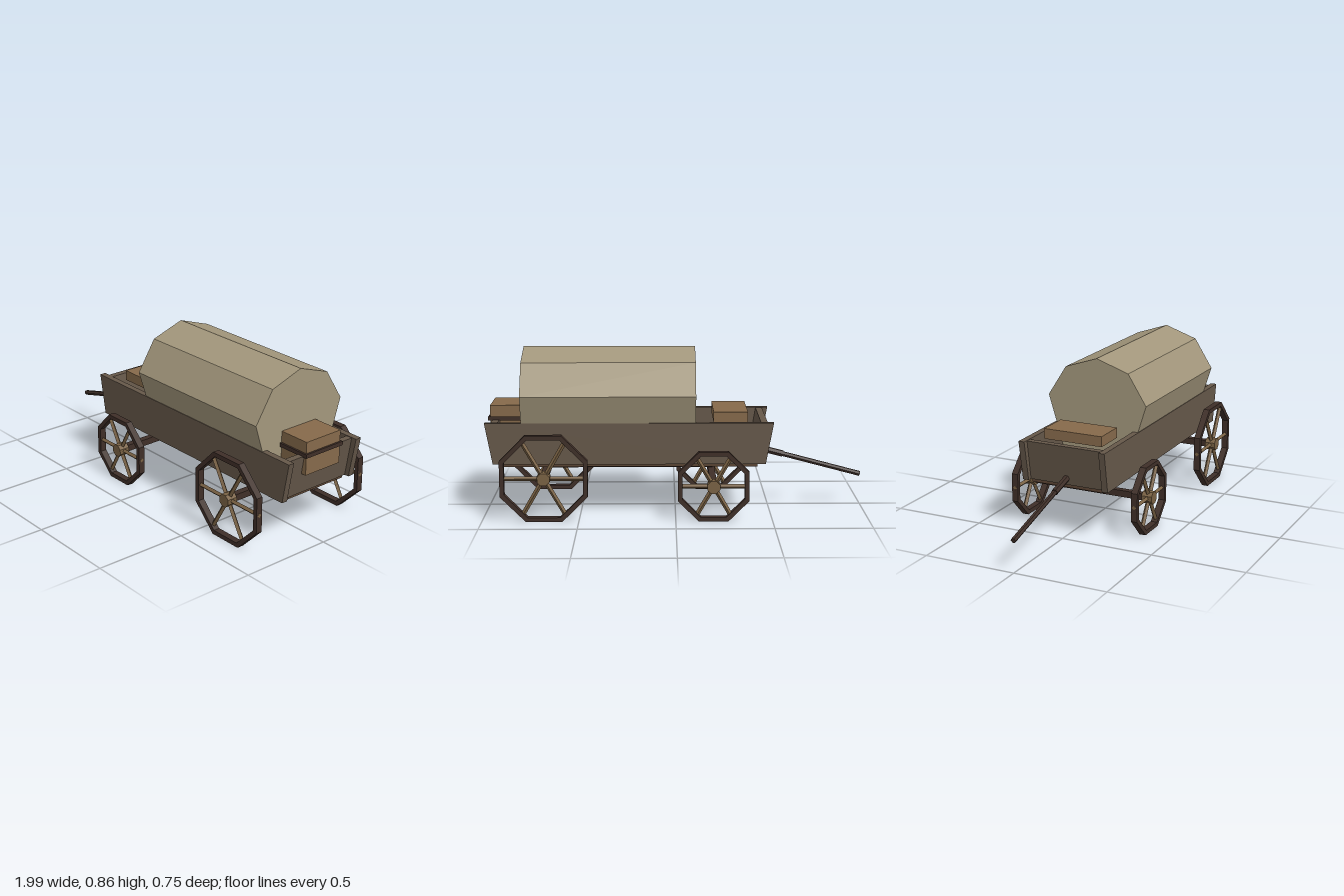
import * as THREE from 'three';

const mat = (color, side = THREE.FrontSide) =>
  new THREE.MeshStandardMaterial({ color, flatShading: true, roughness: 0.9, side });
const M = {
  body: mat(0x66584a), floor: mat(0x5a4433), canvas: mat(0xa3977c),
  dark: mat(0x3f2f28), crate: mat(0x866a4b), spoke: mat(0x7a6244),
};

function add(parent, name, geo, material, x = 0, y = 0, z = 0) {
  const m = new THREE.Mesh(geo, material);
  m.name = name;
  m.position.set(x, y, z);
  parent.add(m);
  return m;
}

// Box given by its limits on each axis
function box(parent, name, material, x0, x1, y0, y1, z0, z1) {
  return add(parent, name, new THREE.BoxGeometry(x1 - x0, y1 - y0, z1 - z0), material,
    (x0 + x1) / 2, (y0 + y1) / 2, (z0 + z1) / 2);
}

// Outline in x/y, extruded along z and centred on z = 0
function slab(points, depth) {
  const shape = new THREE.Shape(points.map(p => new THREE.Vector2(...p)));
  return new THREE.ExtrudeGeometry(shape, { depth, bevelEnabled: false }).translate(0, 0, -depth / 2);
}

// Bar between two points
function bar(parent, name, a, b, r, sides, material) {
  const va = new THREE.Vector3(...a), vb = new THREE.Vector3(...b);
  const m = add(parent, name, new THREE.CylinderGeometry(r, r, va.distanceTo(vb), sides), material);
  m.position.copy(va).add(vb).multiplyScalar(0.5);
  m.quaternion.setFromUnitVectors(new THREE.Vector3(0, 1, 0), vb.sub(va).normalize());
  return m;
}

// Octagon standing on a flat side
function octagon(apothem) {
  const r = apothem / Math.cos(Math.PI / 8);
  return Array.from({ length: 8 }, (_, i) => {
    const a = (i + 0.5) * Math.PI / 4;
    return new THREE.Vector2(r * Math.cos(a), r * Math.sin(a));
  });
}

function wheel(name, apothem) {
  const g = new THREE.Group();
  g.name = name;
  const rim = new THREE.Shape(octagon(apothem));
  rim.holes.push(new THREE.Path(octagon(apothem - 0.023)));
  add(g, 'rim', new THREE.ExtrudeGeometry(rim, { depth: 0.035, bevelEnabled: false })
    .translate(0, 0, -0.0175), M.dark);
  add(g, 'hub', new THREE.CylinderGeometry(0.035, 0.035, 0.058, 8)
    .rotateY(Math.PI / 8).rotateX(Math.PI / 2), M.spoke);
  const spokes = 6;
  for (let i = 0; i < spokes; i++) {
    const a = i * 2 * Math.PI / spokes, r = apothem + 0.001;
    bar(g, 'spoke', [0, 0, 0], [r * Math.cos(a), r * Math.sin(a), 0], 0.012, 4, M.spoke);
  }
  return g;
}

export function createModel() {
  const wagon = new THREE.Group();
  wagon.name = 'coveredWagon';

  // Bed: floor, flared sides and leaning end boards
  box(wagon, 'floor', M.floor, -0.43, 0.91, 0.26, 0.285, -0.21, 0.21);
  for (const s of [1, -1]) {
    add(wagon, 'sideBoard', slab([[-0.47, 0.28], [0.95, 0.28], [0.99, 0.497], [-0.51, 0.497]], 0.033),
      M.body, 0, 0, s * 0.227);
  }
  add(wagon, 'frontBoard', slab([[-0.445, 0.28], [-0.41, 0.28], [-0.445, 0.494], [-0.48, 0.494]], 0.424), M.body);
  add(wagon, 'tailBoard', slab([[0.89, 0.28], [0.925, 0.28], [0.96, 0.494], [0.925, 0.494]], 0.424), M.body);

  // Canvas cover: faceted arch running along the bed
  const half = [[0.18, 0.29], [0.24, 0.497], [0.285, 0.642], [0.182, 0.805]];
  const arch = [...half, [0, 0.867], ...half.map(([z, y]) => [-z, y]).reverse()];
  add(wagon, 'canvasCover', slab(arch, 0.907).rotateY(Math.PI / 2), M.canvas, 0.348);

  // Driver's seat and strapped crate at the tail
  box(wagon, 'seat', M.crate, -0.38, -0.2, 0.485, 0.54, -0.165, 0.165);
  box(wagon, 'tailCrate', M.crate, 0.79, 0.973, 0.395, 0.57, -0.114, 0.114);
  box(wagon, 'crateStrap', M.dark, 0.785, 0.983, 0.49, 0.511, -0.124, 0.124);

  // Running gear
  for (const [label, x, y, apothem] of [['front', -0.195, 0.187, 0.183], ['rear', 0.678, 0.23, 0.226]]) {
    box(wagon, label + 'Axle', M.dark, x - 0.0175, x + 0.0175, y - 0.0175, y + 0.0175, -0.315, 0.315);
    for (const s of [1, -1]) {
      const w = wheel(label + 'Wheel', apothem);
      w.position.set(x, y, s * 0.347);
      wagon.add(w);
    }
  }
  box(wagon, 'reachBeam', M.dark, -0.2, 0.68, 0.212, 0.243, -0.016, 0.016);

  // Tongue with a thicker root
  bar(wagon, 'tongue', [-0.997, 0.17, 0], [-0.44, 0.318, 0], 0.014, 6, M.dark);
  bar(wagon, 'tongueRoot', [-0.58, 0.281, 0], [-0.44, 0.318, 0], 0.018, 6, M.dark);

  return wagon;
}
